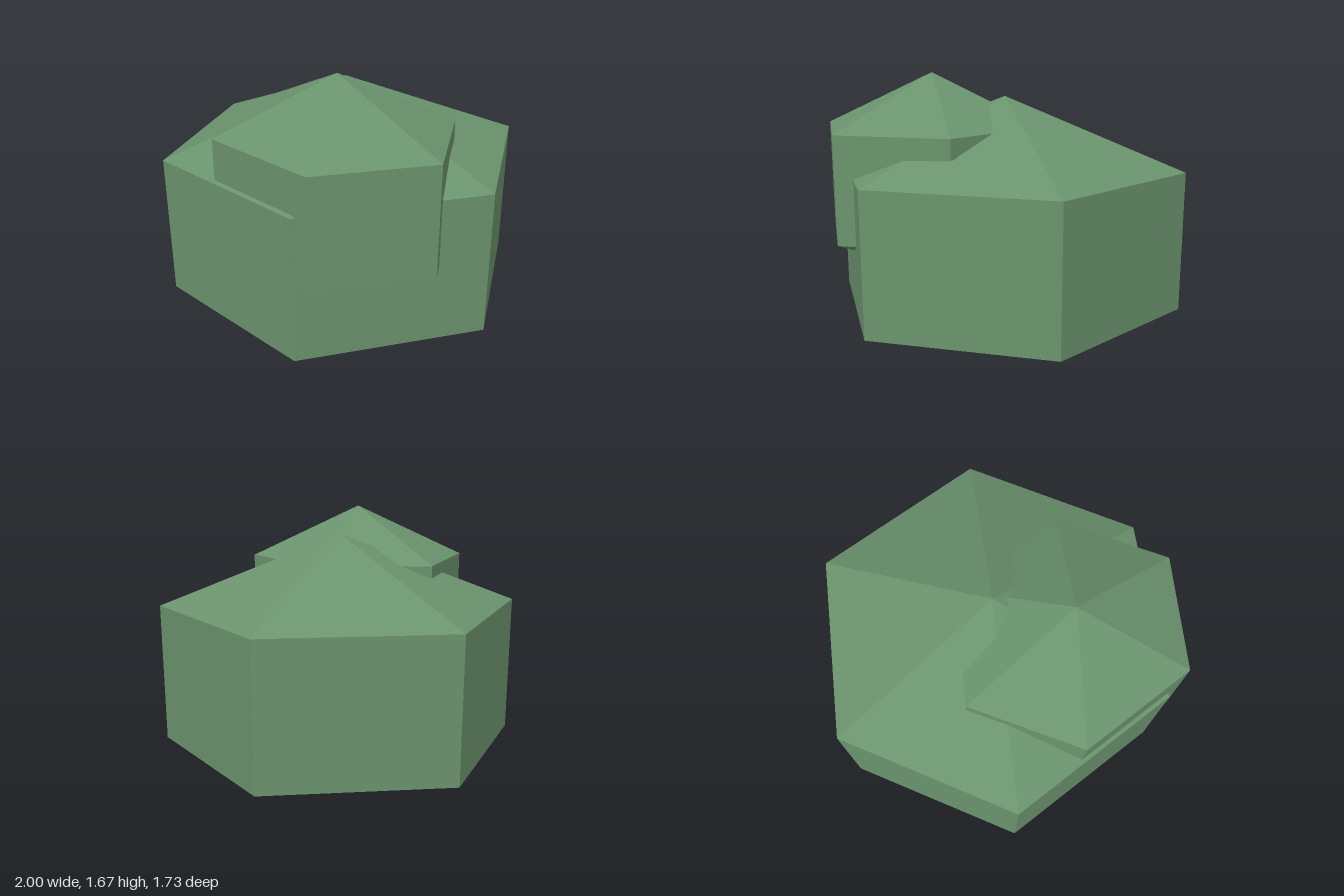
import * as THREE from 'three';

// Six-sided prism with a pointed cap at both ends, a corner on +x
function pointedPrism(name, material, { radius, bottom, lower, upper, top }) {
  const profile = [
    new THREE.Vector2(0, bottom),
    new THREE.Vector2(radius, lower),
    new THREE.Vector2(radius, upper),
    new THREE.Vector2(0, top),
  ];
  const geometry = new THREE.LatheGeometry(profile, 6, Math.PI / 2).toNonIndexed();
  geometry.computeVertexNormals();
  const mesh = new THREE.Mesh(geometry, material);
  mesh.name = name;
  return mesh;
}

export function createModel() {
  const group = new THREE.Group();
  group.name = 'crystalBush';
  const green = new THREE.MeshStandardMaterial({ color: 0x6a936d, flatShading: true });
  green.name = 'leafGreen';

  // Large body standing on its lower point
  const body = pointedPrism('mainBody', green, {
    radius: 1, bottom: 0, lower: 0.386, upper: 1.157, top: 1.543,
  });

  // Smaller lump sunk into the front left shoulder, slightly squashed in depth
  const lump = pointedPrism('smallLump', green, {
    radius: 0.665, bottom: 0.51, lower: 0.8, upper: 1.381, top: 1.67,
  });
  lump.scale.z = 0.916;
  lump.position.set(0.256, 0, 0.319);

  group.add(body, lump);
  return group;
}
